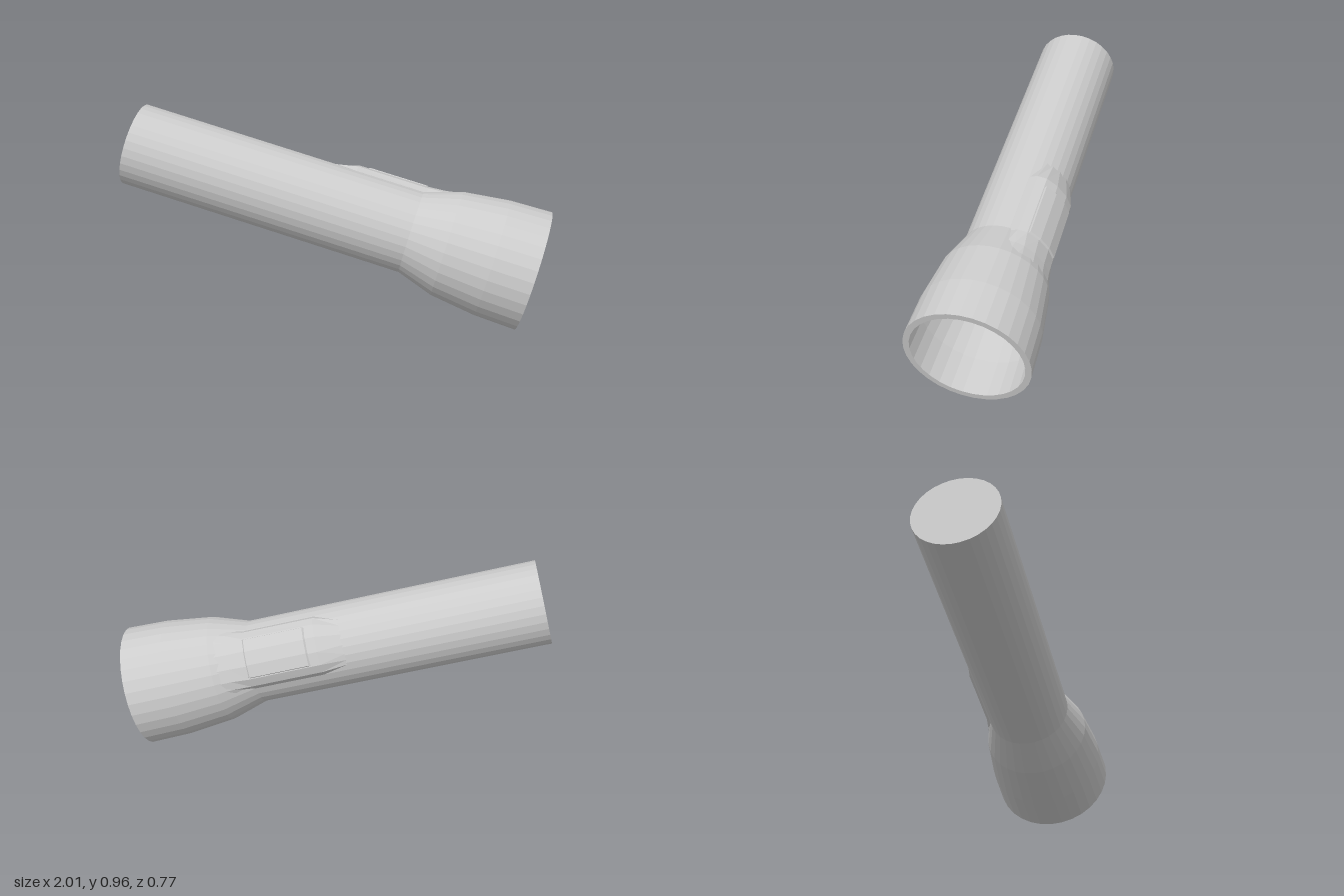
import * as THREE from 'three';

const RAD = Math.PI / 180;
const SIDES = 32;
const CENTRE = 57; // angle of the switch housing, from the top towards the back

const grey = new THREE.MeshStandardMaterial({
  color: 0xcccccc, flatShading: true, side: THREE.DoubleSide,
});

function part(name, geometry) {
  const mesh = new THREE.Mesh(geometry, grey);
  mesh.name = name;
  return mesh;
}

// Surface turned around the torch axis (local y) from [radius, position] pairs
function turned(name, profile) {
  const points = profile.map(([r, s]) => new THREE.Vector2(r, s));
  return part(name, new THREE.LatheGeometry(points, SIDES));
}

// Raised patch on the tube: stations are [position, half angle, base radius, height],
// section is [fraction of half angle, fraction of height]
function raisedPatch(name, stations, section) {
  const positions = [], index = [], n = section.length;
  for (const [s, half, base, height] of stations) {
    for (const [across, up] of section) {
      const a = (CENTRE + across * half) * RAD, r = base + up * height;
      positions.push(r * Math.cos(a), s, r * Math.sin(a));
    }
  }
  for (let i = 0; i < stations.length - 1; i++) {
    for (let j = 0; j < n - 1; j++) {
      const a = i * n + j, b = a + 1, c = a + n, d = c + 1;
      index.push(a, c, b, b, c, d);
    }
  }
  const geometry = new THREE.BufferGeometry();
  geometry.setAttribute('position', new THREE.Float32BufferAttribute(positions, 3));
  geometry.setIndex(index);
  geometry.computeVertexNormals();
  return part(name, geometry);
}

export function createModel() {
  const model = new THREE.Group();
  model.name = 'torch';

  // Tube closed at the tail, and the flared open head
  model.add(turned('handleTube', [[0, 0], [0.195, 0], [0.195, 1.367]]));
  model.add(turned('flaredHead', [[0.195, 1.367], [0.25, 1.539], [0.277, 1.756], [0.283, 1.953]]));
  model.add(turned('headRim', [[0.283, 1.953], [0.255, 1.953]]));

  // Switch housing: ramps up from the tube and runs into the head
  model.add(raisedPatch('switchHousing', [
    [0.92, 36, 0.194, 0],
    [1.04, 45, 0.194, 0.033],
    [1.38, 45, 0.194, 0.035],
    [1.46, 42, 0.222, 0.012],
    [1.59, 40, 0.252, 0],
  ], [[-1, 0], [-0.8, 0.65], [-0.55, 1], [-0.2, 1], [0.2, 1], [0.55, 1], [0.8, 0.65], [1, 0]]));

  // Switch panel on the housing
  model.add(raisedPatch('switchPanel', [
    [1.08, 24, 0.224, 0],
    [1.09, 24, 0.224, 0.01],
    [1.37, 24, 0.225, 0.01],
    [1.38, 24, 0.225, 0],
  ], [[-1, 0], [-0.93, 1], [-0.33, 1], [0.33, 1], [0.93, 1], [1, 0]]));

  // Tilt the axis: local x points up, local y towards the head, local z to the back
  const tail = new THREE.Vector3(-0.945, 0.775, 0.19);
  const axis = new THREE.Vector3(0.92, 0.275, -0.107).sub(tail).normalize();
  const up = new THREE.Vector3(0, 1, 0).addScaledVector(axis, -axis.y).normalize();
  const back = new THREE.Vector3().crossVectors(up, axis);
  model.quaternion.setFromRotationMatrix(new THREE.Matrix4().makeBasis(up, axis, back));
  model.position.copy(tail);

  const root = new THREE.Group();
  root.add(model);
  return root;
}
